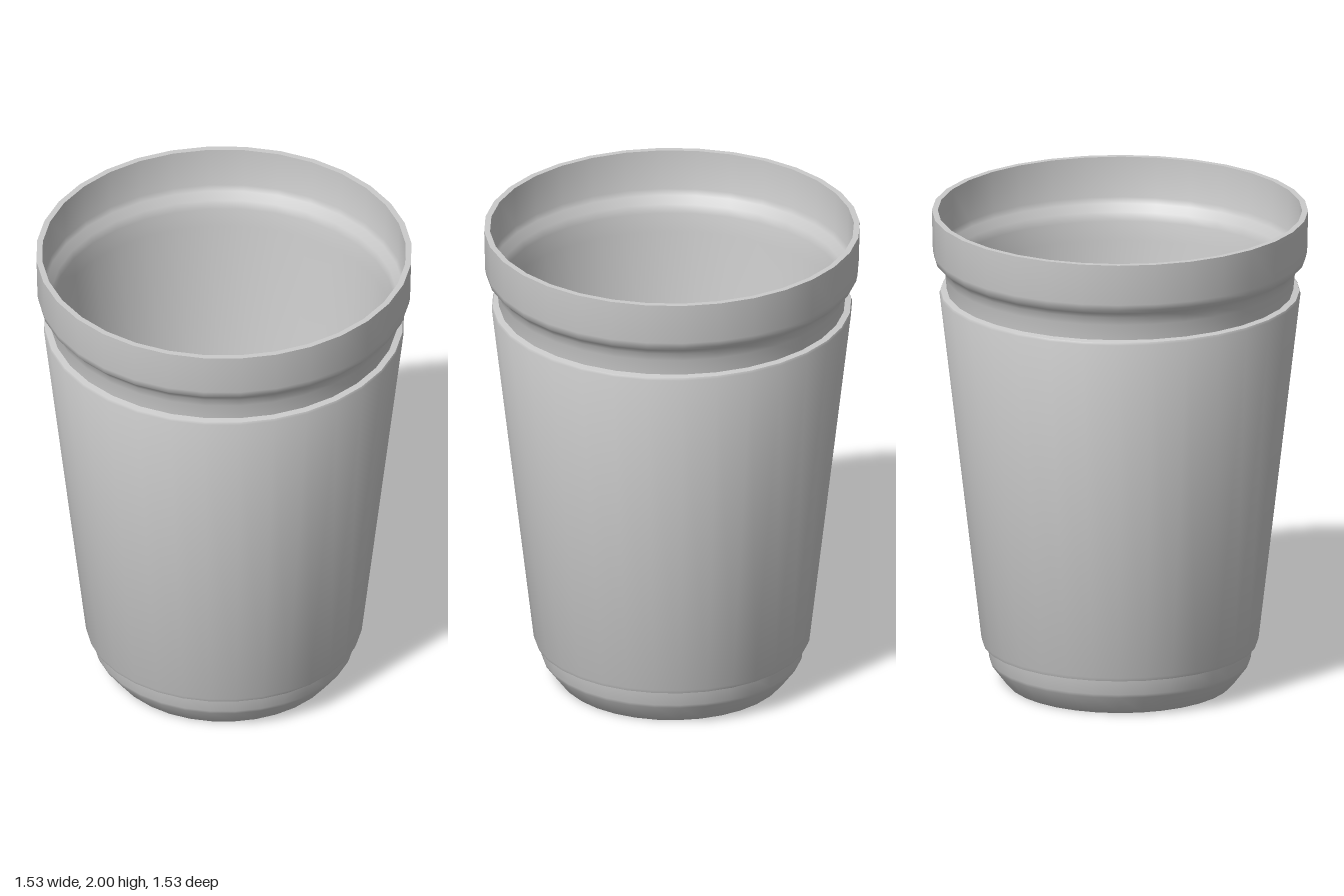
import * as THREE from 'three';
import { toCreasedNormals } from 'three/addons/utils/BufferGeometryUtils.js';

const SIDES = 32;
const material = new THREE.MeshStandardMaterial({ color: 0xcccccc });

// Turns a closed [radius, height] profile around the y axis, keeping sharp edges.
function turned(name, profile) {
  const points = profile.map(([r, y]) => new THREE.Vector2(r, y));
  const geometry = toCreasedNormals(new THREE.LatheGeometry(points, SIDES), 0.9);
  const mesh = new THREE.Mesh(geometry, material);
  mesh.name = name;
  return mesh;
}

export function createModel() {
  const group = new THREE.Group();
  group.name = 'cup';

  // Thin-walled cup: underside, outer wall and rim, then back down the inside
  group.add(turned('cupBody', [
    [0, 0], [0.46, 0], [0.47, 0.01], [0.527, 0.085], [0.533, 0.1], [0.54, 0.17],
    [0.705, 1.66], [0.712, 1.73], [0.722, 1.765], [0.735, 1.785], [0.757, 1.805],
    [0.762, 1.83], [0.766, 2],
    [0.742, 2], [0.738, 1.83], [0.73, 1.805], [0.705, 1.775], [0.696, 1.74],
    [0.69, 1.66], [0.505, 0.12], [0.497, 0.09], [0.475, 0.06], [0, 0.06],
  ]));

  // Sleeve wrapped around the wall, with a small ledge at each end
  group.add(turned('sleeve', [
    [0.535, 0.165], [0.558, 0.165], [0.564, 0.18], [0.735, 1.65], [0.731, 1.66],
    [0.7, 1.665], [0.535, 0.165],
  ]));

  return group;
}
